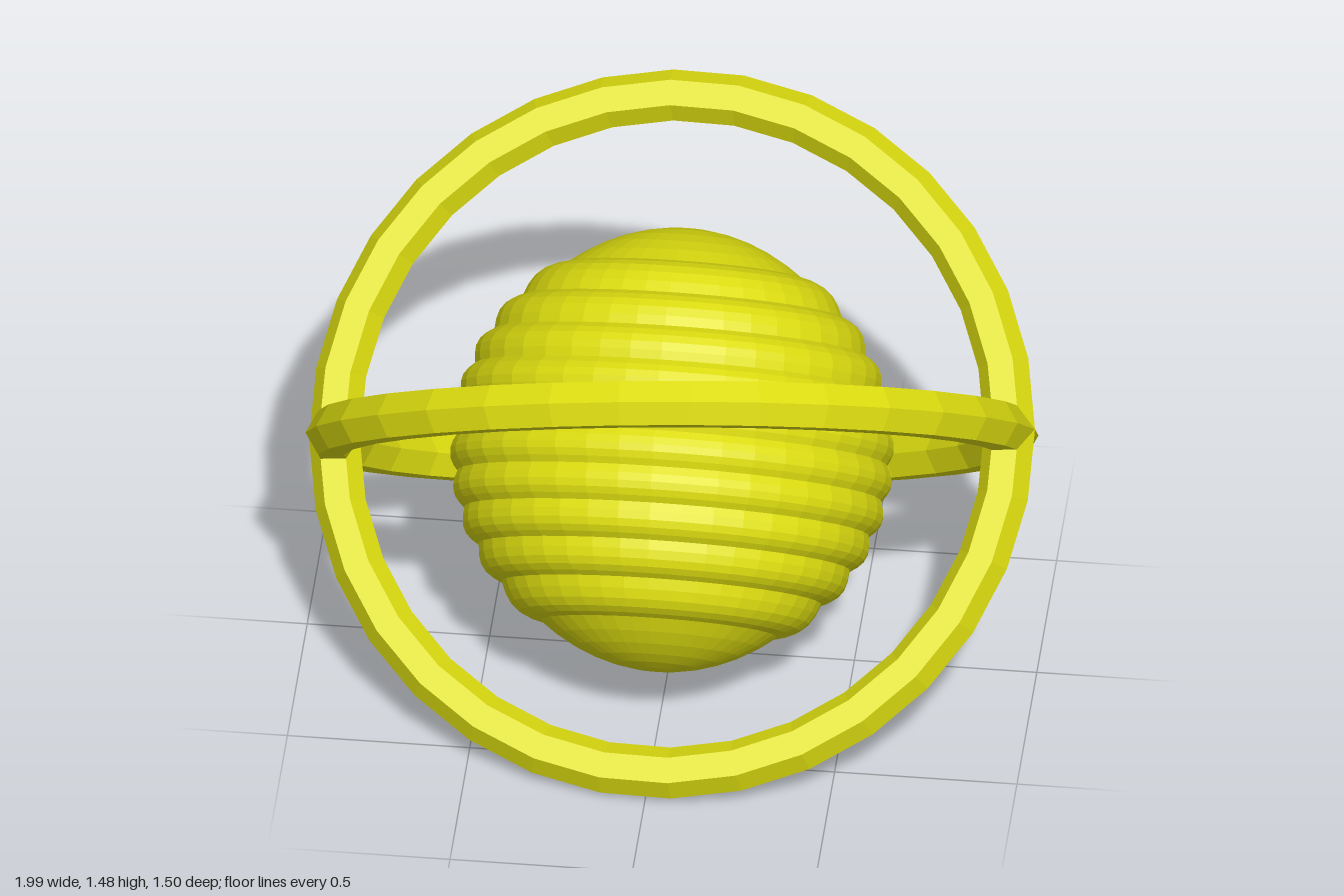
import * as THREE from 'three';

const yellow = new THREE.MeshStandardMaterial({ color: 0xdddd10, flatShading: true });
yellow.name = 'yellow';

// Ridged ball: bulging bands of equal height between two domed caps
function ballGeometry() {
  const groove = 0.587, bulge = 0.02, bands = 10, steps = 5;
  const half = 0.5;
  const pts = [];
  const add = (angle, r) => pts.push(new THREE.Vector2(Math.max(0, r * Math.cos(angle)), r * Math.sin(angle)));
  const edge = Math.asin(half / groove * 0.98);
  // Bottom cap
  for (let i = 0; i < 6; i++) {
    const t = i / 6;
    add(-Math.PI / 2 + t * (Math.PI / 2 - edge), groove + bulge * Math.cos(t * Math.PI / 2));
  }
  // Bands
  for (let b = 0; b < bands; b++) {
    const a0 = Math.asin(Math.sin(edge) * (-1 + 2 * b / bands));
    const a1 = Math.asin(Math.sin(edge) * (-1 + 2 * (b + 1) / bands));
    for (let i = 0; i < steps; i++) {
      const t = i / steps;
      add(a0 + (a1 - a0) * t, groove + bulge * Math.sin(Math.PI * t));
    }
  }
  // Top cap
  for (let i = 0; i <= 6; i++) {
    const t = i / 6;
    add(edge + t * (Math.PI / 2 - edge), groove + bulge * Math.sin(t * Math.PI / 2));
  }
  return new THREE.LatheGeometry(pts, 40);
}

export function createModel() {
  const model = new THREE.Group();
  model.name = 'ringedBall';

  const ball = new THREE.Mesh(ballGeometry(), yellow);
  ball.name = 'ridgedBall';
  ball.position.y = 0.695;
  ball.rotation.x = THREE.MathUtils.degToRad(-43);
  model.add(ball);

  // Two crossed six-sided rings, sharing a slight roll
  const rings = new THREE.Group();
  rings.name = 'crossedRings';
  rings.position.y = 0.75;
  rings.rotation.z = 0.1;
  const ringGeometry = new THREE.TorusGeometry(0.93, 0.07, 6, 32);
  for (const [name, tilt] of [['backLeaningRing', -44], ['frontLeaningRing', 47.5]]) {
    const ring = new THREE.Mesh(ringGeometry, yellow);
    ring.name = name;
    ring.rotation.x = THREE.MathUtils.degToRad(tilt);
    rings.add(ring);
  }
  model.add(rings);
  return model;
}
